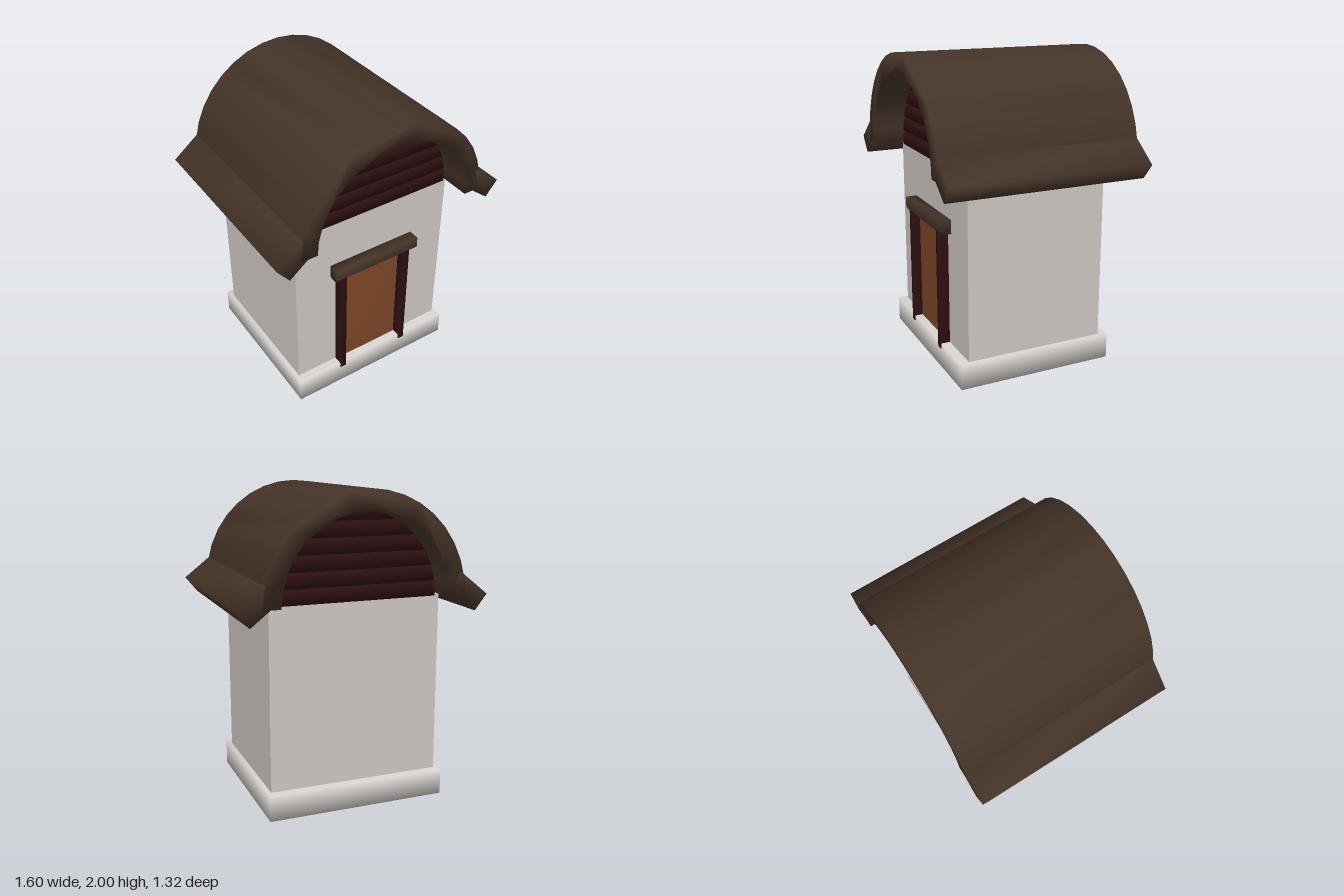
import * as THREE from 'three';
import { mergeVertices } from 'three/addons/utils/BufferGeometryUtils.js';

const material = (name, color) => {
  const m = new THREE.MeshStandardMaterial({ color });
  m.name = name;
  return m;
};

// Share every vertex so the shading runs softly over the edges
function soften(geometry) {
  geometry.deleteAttribute('normal');
  geometry.deleteAttribute('uv');
  geometry.clearGroups();
  const merged = mergeVertices(geometry, 1e-4);
  merged.computeVertexNormals();
  return merged;
}

// Box given by its limits on each axis
function box([x0, x1], [y0, y1], [z0, z1]) {
  return new THREE.BoxGeometry(x1 - x0, y1 - y0, z1 - z0)
    .translate((x0 + x1) / 2, (y0 + y1) / 2, (z0 + z1) / 2);
}

// Front outline pushed from z0 to z1
function prism(points, z0, z1) {
  return new THREE.ExtrudeGeometry(new THREE.Shape(points), {
    depth: z1 - z0, bevelEnabled: false,
  }).translate(0, 0, z0);
}

export function createModel() {
  const group = new THREE.Group();
  const plaster = material('plaster', 0xccc5c2);
  const stone = material('stone', 0xd6d2cf);
  const roofWood = material('roofWood', 0x443328);
  const darkWood = material('darkWood', 0x2e0f11);
  const doorWood = material('doorWood', 0x7c4528);

  const add = (name, geometry, mat) => {
    const mesh = new THREE.Mesh(geometry, mat);
    mesh.name = name;
    group.add(mesh);
  };

  // Footing and walls
  add('base', soften(box([-0.59, 0.58], [0, 0.165], [-0.53, 0.51])), stone);
  add('walls', box([-0.565, 0.555], [0.15, 1.33], [-0.475, 0.45]), plaster);

  // Doorway
  add('door', soften(box([-0.24, 0.2], [0.165, 0.925], [0.44, 0.458])), doorWood);
  for (const [name, x] of [['rightPost', -0.277], ['leftPost', 0.205]]) {
    add(name, soften(box([x, x + 0.042], [0.13, 0.925], [0.44, 0.515])), darkWood);
  }
  const lintel = prism([
    new THREE.Vector2(-0.45, 0.915), new THREE.Vector2(-0.51, 0.915),
    new THREE.Vector2(-0.525, 0.935), new THREE.Vector2(-0.525, 1.005),
    new THREE.Vector2(-0.45, 1.005),
  ].reverse(), -0.315, 0.3).rotateY(Math.PI / 2);
  add('lintel', soften(lintel), roofWood);

  // Gable slats, narrowing under the arch with open gaps between
  const centreY = 1.34;
  const halfWidth = (y) => Math.min(0.535, Math.sqrt(Math.max(0.57 ** 2 - (y - centreY) ** 2, 0)));
  for (let i = 0; i < 6; i++) {
    const y0 = 1.32 + i * 0.0975;
    const y1 = y0 + 0.085;
    const a = halfWidth(y0), b = halfWidth(y1);
    add('gableSlat', soften(prism([
      new THREE.Vector2(-a, y0), new THREE.Vector2(a, y0),
      new THREE.Vector2(b, y1), new THREE.Vector2(-b, y1),
    ], -0.48, 0.455)), darkWood);
  }

  // Arched roof shell
  const arch = [];
  const steps = 18;
  for (let i = 0; i <= steps; i++) {
    const t = Math.PI * i / steps;
    arch.push(new THREE.Vector2(0.645 * Math.cos(t), centreY + 0.66 * Math.sin(t)));
  }
  for (let i = steps; i >= 0; i--) {
    const t = Math.PI * i / steps;
    arch.push(new THREE.Vector2(0.535 * Math.cos(t), centreY + 0.535 * Math.sin(t)));
  }
  add('roofArch', soften(prism(arch, -0.66, 0.66)), roofWood);

  // Sloping eaves on both sides
  for (const side of [-1, 1]) {
    const eave = [[0.61, 1.494], [0.55, 1.378], [0.72, 1.245], [0.8, 1.345]]
      .map(([x, y]) => new THREE.Vector2(side * x, y));
    add(side > 0 ? 'leftEave' : 'rightEave', soften(prism(eave, -0.66, 0.66)), roofWood);
  }

  return group;
}
